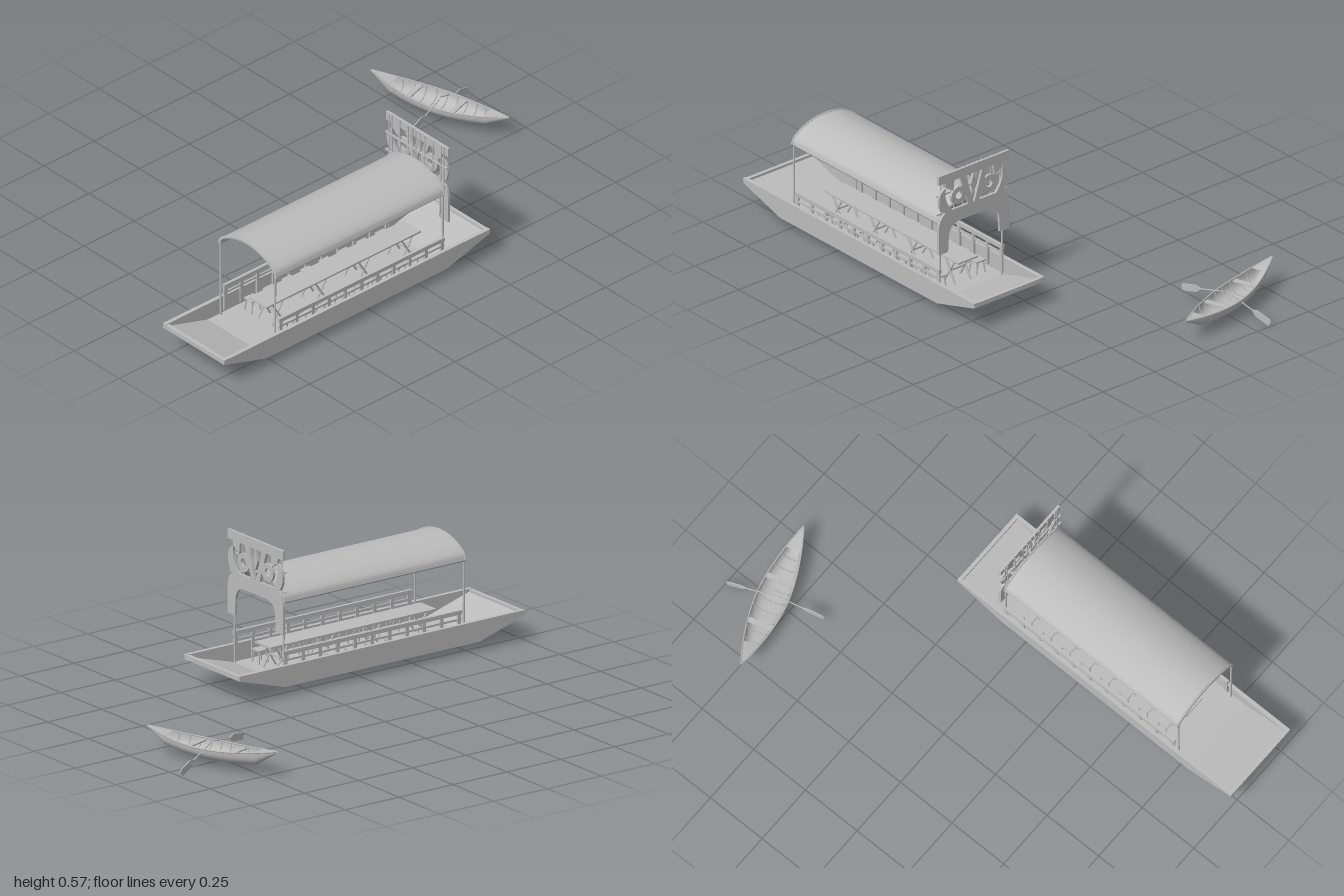
import * as THREE from 'three';

const grey = new THREE.MeshStandardMaterial({ color: 0xbcbcbc, side: THREE.DoubleSide });
grey.name = 'plain grey';

const V = (x, y, z) => new THREE.Vector3(x, y, z);

function add(parent, name, geometry) {
  const m = new THREE.Mesh(geometry, grey);
  m.name = name;
  parent.add(m);
  return m;
}

function group(parent, name) {
  const g = new THREE.Group();
  g.name = name;
  parent.add(g);
  return g;
}

// Box given by its centre and size
function box(parent, name, x, y, z, w, h, d) {
  const m = add(parent, name, new THREE.BoxGeometry(w, h, d));
  m.position.set(x, y, z);
  return m;
}

// Round bar between two points
function bar(parent, name, a, b, r, sides = 8) {
  const m = add(parent, name, new THREE.CylinderGeometry(r, r, a.distanceTo(b), sides));
  m.position.copy(a).add(b).multiplyScalar(0.5);
  m.quaternion.setFromUnitVectors(V(0, 1, 0), b.clone().sub(a).normalize());
  return m;
}

const poly = pts => new THREE.Shape(pts.map(p => new THREE.Vector2(p[0], p[1])));
const plate = (shape, depth) =>
  new THREE.ExtrudeGeometry(shape, { depth, bevelEnabled: false, curveSegments: 14 });

// Extrude a (z, y) side profile across x, from -w/2 to w/2
const across = (shape, w) => plate(shape, w).rotateY(-Math.PI / 2).translate(w / 2, 0, 0);

function buildBarge() {
  const barge = new THREE.Group();
  barge.name = 'barge';

  // Flat hull: thin sloping floor plus side walls and end rims
  const hull = group(barge, 'hull');
  const outer = [[1, 0.118], [1, 0.1], [0.79, 0.037], [-0.11, 0.037], [-0.325, 0.1], [-0.325, 0.118]];
  const inner = [[-0.31, 0.118], [-0.31, 0.108], [-0.11, 0.05], [0.79, 0.05], [0.985, 0.108], [0.985, 0.118]];
  add(hull, 'floor', across(poly([...outer, ...inner]), 0.32));
  for (const s of [-1, 1]) {
    add(hull, 'sideWall', across(poly(outer), 0.012)).position.x = s * 0.163;
    box(hull, 'gunwale', s * 0.163, 0.116, 0.3375, 0.016, 0.008, 1.325);
  }

  // Arched canopy
  const arch = [[-0.16, 0.364], [-0.152, 0.386], [-0.13, 0.405], [-0.095, 0.423], [-0.05, 0.437], [0, 0.442]];
  const half = arch.concat(arch.slice(0, 5).reverse().map(p => [-p[0], p[1]]));
  const top = new THREE.SplineCurve(half.map(p => new THREE.Vector2(...p))).getPoints(36);
  const under = top.map(p => new THREE.Vector2(p.x * 0.97, p.y - 0.006)).reverse();
  add(barge, 'canopy', plate(new THREE.Shape([...top, ...under]), 0.845)).position.z = -0.11;
  for (const z of [0.731, -0.106]) {
    const hoop = new THREE.CatmullRomCurve3(half.map(p => V(p[0], p[1], z)));
    add(barge, 'canopyHoop', new THREE.TubeGeometry(hoop, 32, 0.004, 6));
  }

  // Posts and railings on both sides
  for (const s of [-1, 1]) {
    for (const z of [0.73, -0.106]) bar(barge, 'canopyPost', V(s * 0.15, 0.045, z), V(s * 0.152, 0.385, z), 0.004);
    const rail = group(barge, 'railing');
    box(rail, 'topRail', s * 0.153, 0.164, 0.302, 0.012, 0.016, 0.825);
    box(rail, 'lowerRail', s * 0.153, 0.136, 0.302, 0.006, 0.008, 0.825);
    for (let i = 0; i < 11; i++) box(rail, 'baluster', s * 0.153, 0.11, -0.1 + i * 0.0805, 0.008, 0.1, 0.014);
  }

  // Long table on crossed trestles
  const table = group(barge, 'table');
  box(table, 'tableTop', 0, 0.152, 0.295, 0.096, 0.007, 0.77);
  for (let i = 0; i < 4; i++) {
    const z = -0.03 + i * 0.215;
    for (const s of [-1, 1]) {
      bar(table, 'tableLeg', V(s * 0.037, 0.15, z - 0.03), V(s * 0.037, 0.05, z + 0.03), 0.004, 6);
      bar(table, 'tableLeg', V(s * 0.037, 0.15, z + 0.03), V(s * 0.037, 0.05, z - 0.03), 0.004, 6);
    }
    box(table, 'crossPiece', 0, 0.1, z, 0.08, 0.007, 0.007);
  }

  // Row of stools along each side of the table
  for (const s of [-1, 1]) for (let i = 0; i < 8; i++) {
    const stool = group(barge, 'stool');
    stool.position.set(s * 0.095, 0, -0.03 + i * 0.093);
    box(stool, 'seat', 0, 0.1, 0, 0.045, 0.006, 0.045);
    for (const a of [-1, 1]) for (const b of [-1, 1])
      bar(stool, 'stoolLeg', V(a * 0.015, 0.1, b * 0.015), V(a * 0.021, 0.05, b * 0.021), 0.003, 5);
  }

  buildGate(barge);
  barge.position.x = 0.385;
  return barge;
}

// Ornamental gate at the stern end of the canopy
function buildGate(parent) {
  const gate = group(parent, 'gate');
  gate.position.z = -0.124;
  const T = 0.01;
  const arch = new THREE.Shape();
  arch.moveTo(-0.171, 0.243);
  arch.lineTo(-0.171, 0.35);
  arch.quadraticCurveTo(-0.165, 0.41, -0.115, 0.412);
  arch.lineTo(0.115, 0.412);
  arch.quadraticCurveTo(0.165, 0.41, 0.171, 0.35);
  arch.lineTo(0.171, 0.243);
  arch.lineTo(0.126, 0.243);
  arch.lineTo(0.122, 0.31);
  arch.quadraticCurveTo(0.115, 0.357, 0.065, 0.357);
  arch.lineTo(-0.065, 0.357);
  arch.quadraticCurveTo(-0.115, 0.357, -0.122, 0.31);
  arch.lineTo(-0.126, 0.243);
  add(gate, 'archPanel', plate(arch, T));
  box(gate, 'topBoard', 0, 0.551, T / 2, 0.342, 0.036, T);

  // Mirrored scrollwork between the arch and the top board
  for (const s of [-1, 1]) {
    const ring = new THREE.Shape().absarc(s * 0.074, 0.462, 0.036, 0, Math.PI * 2);
    ring.holes.push(new THREE.Path().absarc(s * 0.074, 0.462, 0.015, 0, Math.PI * 2, true));
    add(gate, 'scrollRing', plate(ring, T));
    add(gate, 'diagonalBrace', plate(poly([[s * 0.002, 0.41], [s * 0.026, 0.41], [s * 0.066, 0.534], [s * 0.04, 0.534]], T), T));
    const wing = new THREE.Shape();
    wing.moveTo(s * 0.135, 0.405);
    wing.quadraticCurveTo(s * 0.172, 0.42, s * 0.168, 0.47);
    wing.quadraticCurveTo(s * 0.165, 0.505, s * 0.135, 0.512);
    wing.quadraticCurveTo(s * 0.15, 0.46, s * 0.105, 0.41);
    add(gate, 'sideWing', plate(wing, T));
    add(gate, 'hook', plate(poly([[s * 0.095, 0.534], [s * 0.14, 0.534], [s * 0.135, 0.512], [s * 0.1, 0.488]]), T));
  }
  add(gate, 'centreLeaf', plate(poly([[0, 0.45], [0.014, 0.49], [0, 0.535], [-0.014, 0.49]]), T));

  // Battens carrying the panel
  for (const y of [0.482, 0.405]) box(gate, 'crossBatten', 0, y, 0.013, 0.342, 0.006, 0.006);
  for (const s of [-1, 1]) {
    for (const [xTop, xLow, yLow] of [[0.15, 0.15, 0.36], [0.138, 0.13, 0.25], [0.094, 0.086, 0.365], [0.047, 0.042, 0.36], [0.022, 0.02, 0.36]])
      bar(gate, 'upright', V(s * xTop, 0.568, 0.013), V(s * xLow, yLow, 0.013), 0.003, 6);
  }
  bar(gate, 'upright', V(0, 0.568, 0.013), V(0, 0.36, 0.013), 0.003, 6);
}

function buildRowboat() {
  const boat = new THREE.Group();
  boat.name = 'rowboat';
  const L = 0.297;
  const beam = s => 0.06 * (1 - Math.abs(s) ** 1.8) + 0.001;
  const sheer = s => 0.076 + 0.026 * s * s - 0.005 * s;
  const keel = s => {
    const a = Math.abs(s);
    return a < 0.7 ? 0.026 + 0.032 * a * a : 0.0417 + (sheer(Math.sign(s)) - 0.005 - 0.0417) * (a - 0.7) / 0.3;
  };
  // Point on the shell: s along the boat, a around the section
  const shell = (s, a, k = 1) => {
    const c = Math.cos(a), q = Math.sin(a);
    return V(s * L, sheer(s) - (sheer(s) - keel(s)) * c ** 0.8 * k, Math.sign(q) * Math.abs(q) ** 0.85 * beam(s) * k);
  };

  // Round-bottomed shell from cross-sections
  const N = 40, M = 16, pos = [], idx = [];
  for (let i = 0; i <= N; i++) for (let j = 0; j <= M; j++) {
    pos.push(...shell(-1 + 2 * i / N, Math.max(-1, Math.min(1, -1 + 2 * j / M)) * Math.PI / 2 * 0.9999).toArray());
    if (i < N && j < M) {
      const p = i * (M + 1) + j, q = p + M + 1;
      idx.push(p, p + 1, q, q, p + 1, q + 1);
    }
  }
  const geo = new THREE.BufferGeometry();
  geo.setAttribute('position', new THREE.Float32BufferAttribute(pos, 3));
  geo.setIndex(idx);
  geo.computeVertexNormals();
  add(boat, 'shell', geo);

  // Gunwales
  for (const side of [-1, 1]) {
    const pts = Array.from({ length: 21 }, (_, i) => V((i / 10 - 1) * L, sheer(i / 10 - 1), side * beam(i / 10 - 1)));
    add(boat, 'gunwale', new THREE.TubeGeometry(new THREE.CatmullRomCurve3(pts), 40, 0.003, 6));
  }
  // Triangular end decks
  for (const e of [-1, 1]) {
    const b = beam(0.68), y = sheer(e * 0.68);
    const deck = new THREE.BufferGeometry().setFromPoints([V(e * L, sheer(e), 0), V(e * 0.68 * L, y, -e * b), V(e * 0.68 * L, y, e * b)]);
    deck.computeVertexNormals();
    add(boat, 'endDeck', deck);
  }
  // Ribs and thwarts
  for (let i = 0; i < 9; i++) {
    const s = -0.6 + i * 0.15;
    const pts = Array.from({ length: 13 }, (_, j) => shell(s, (j / 6 - 1) * 1.5, 0.97));
    add(boat, 'rib', new THREE.TubeGeometry(new THREE.CatmullRomCurve3(pts), 20, 0.0025, 5));
  }
  for (const s of [-0.38, 0.26]) box(boat, 'thwart', s * L, sheer(s) - 0.008, 0, 0.022, 0.005, beam(s) * 1.94);

  boat.position.set(-0.268, 0, -0.815);
  boat.rotation.y = 0.298;
  return boat;
}

// Oar from its grip to its blade tip, with the blade standing on edge
function buildOar(grip, tip) {
  const oar = new THREE.Group();
  oar.name = 'oar';
  const len = grip.distanceTo(tip);
  add(oar, 'oarShaft', new THREE.CylinderGeometry(0.0025, 0.0025, len - 0.06, 8).rotateX(Math.PI / 2)).position.z = (len - 0.06) / 2;
  const w = 0.014;
  const blade = poly([[len - 0.085, 0.003], [len - 0.065, w], [len - 0.008, w], [len, w * 0.6],
    [len, -w * 0.6], [len - 0.008, -w], [len - 0.065, -w], [len - 0.085, -0.003]]);
  add(oar, 'oarBlade', across(blade, 0.004));
  oar.position.copy(grip);
  oar.lookAt(tip);
  return oar;
}

export function createModel() {
  const model = new THREE.Group();
  model.name = 'riverBoats';
  model.add(buildBarge(), buildRowboat());
  model.add(buildOar(V(-0.262, 0.092, -0.81), V(-0.315, 0.012, -0.996)));
  model.add(buildOar(V(-0.255, 0.088, -0.8), V(-0.202, 0.056, -0.622)));
  return model;
}
